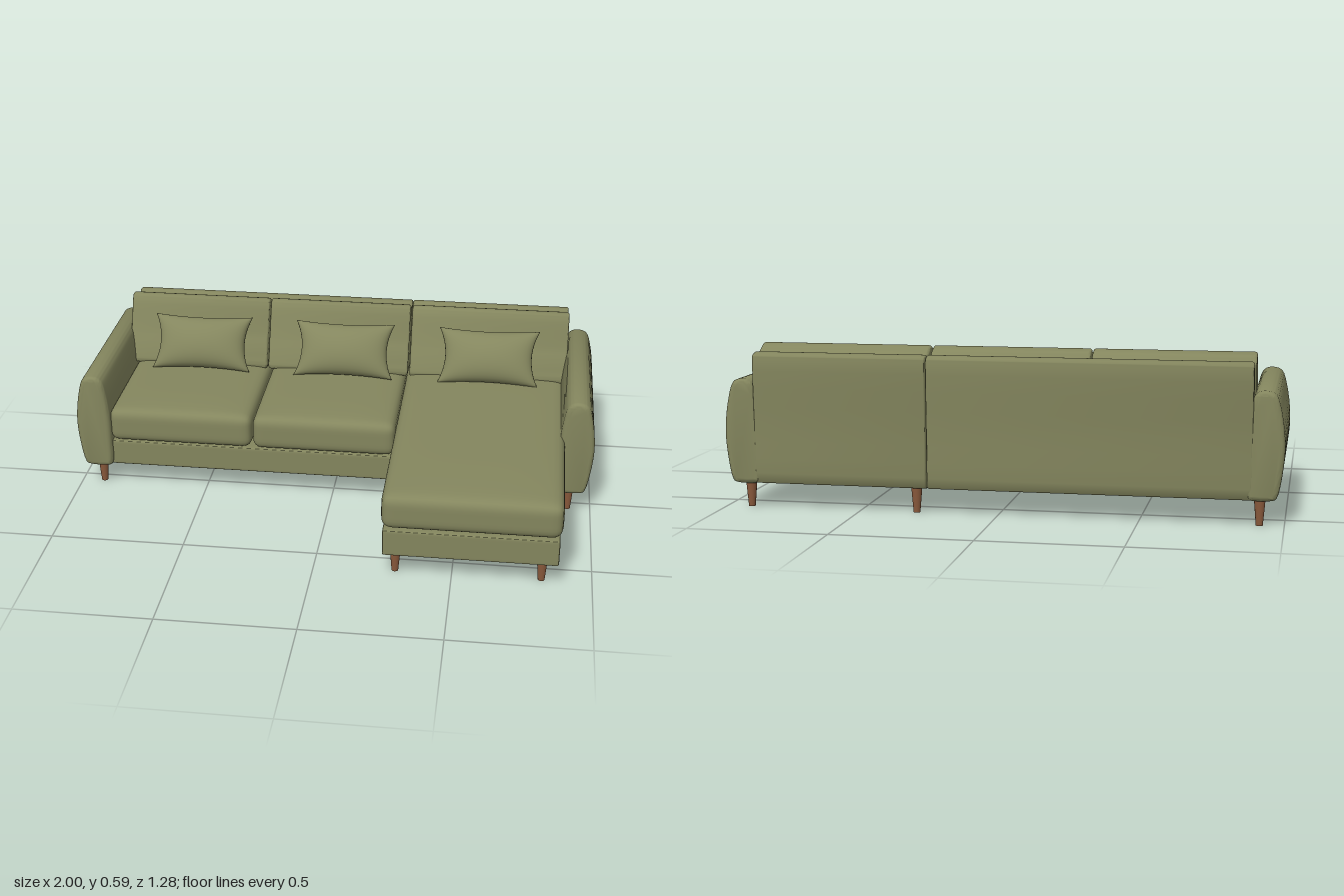
import * as THREE from 'three';
import { mergeVertices, toCreasedNormals } from 'three/addons/utils/BufferGeometryUtils.js';

const fabric = new THREE.MeshStandardMaterial({ color: 0x84865e });
fabric.name = 'olive fabric';
const wood = new THREE.MeshStandardMaterial({ color: 0x8a5a3c });
wood.name = 'brown wood';

function add(parent, name, geometry, material = fabric) {
  const mesh = new THREE.Mesh(geometry, material);
  mesh.name = name;
  parent.add(mesh);
  return mesh;
}

// Share vertices so the whole surface shades smoothly.
function smooth(geometry) {
  geometry.deleteAttribute('uv');
  geometry.deleteAttribute('normal');
  const merged = mergeVertices(geometry, 1e-5);
  merged.computeVertexNormals();
  return merged;
}

// Rounded box between two corners, with a gently crowned top.
function softBox(min, max, radius, crown = 0) {
  const half = min.map((m, i) => (max[i] - m) / 2);
  const geometry = new THREE.BoxGeometry(2, 2, 2, 24, 14, 24);
  const pos = geometry.attributes.position;
  for (let i = 0; i < pos.count; i++) {
    // Rows crowd towards the edges, where the rounding is.
    const p = [pos.getX(i), pos.getY(i), pos.getZ(i)].map((v, k) => Math.sin(v * Math.PI / 2) * half[k]);
    const inner = p.map((v, k) => THREE.MathUtils.clamp(v, radius - half[k], half[k] - radius));
    const off = new THREE.Vector3(...p.map((v, k) => v - inner[k])).setLength(radius);
    const q = inner.map((v, k) => v + off.getComponent(k));
    if (q[1] > 0) {
      q[1] += crown * (1 - (q[0] / half[0]) ** 4) * (1 - (q[2] / half[2]) ** 4) * q[1] / half[1];
    }
    pos.setXYZ(i, ...q.map((v, k) => v + (min[k] + max[k]) / 2));
  }
  return smooth(geometry);
}

// Closed soft outline pulled along its depth, with rounded ends.
function softExtrude(points, depth, bevel) {
  const curve = new THREE.CatmullRomCurve3(points.map(([x, y]) => new THREE.Vector3(x, y, 0)), true);
  const outline = curve.getPoints(points.length * 4).slice(0, -1).map((p) => new THREE.Vector2(p.x, p.y));
  const geometry = new THREE.ExtrudeGeometry(new THREE.Shape(outline), {
    depth: depth - 2 * bevel, bevelEnabled: true, bevelThickness: bevel,
    bevelSize: bevel, bevelOffset: -bevel, bevelSegments: 4,
  });
  geometry.translate(0, 0, bevel);
  return toCreasedNormals(geometry, 0.7);
}

// Outline given as (z, y), running from x0 to x1.
function acrossX(points, x0, x1, bevel) {
  return softExtrude(points, x1 - x0, bevel).rotateY(-Math.PI / 2).translate(x1, 0, 0);
}

// Throw pillow: pinched edges, pointed corners and a full middle.
function pillowGeometry(hw, hh, thick) {
  const geometry = new THREE.BoxGeometry(2, 2, 2, 24, 18, 1);
  const pos = geometry.attributes.position;
  for (let i = 0; i < pos.count; i++) {
    const u = Math.sin(pos.getX(i) * Math.PI / 2);
    const v = Math.sin(pos.getY(i) * Math.PI / 2);
    const fill = Math.sqrt(Math.max(0, (1 - u * u) * (1 - v * v)));
    pos.setXYZ(i,
      u * hw * (1 - 0.14 * (1 - v * v)),
      v * hh * (1 - 0.1 * (1 - u * u)),
      Math.sign(pos.getZ(i)) * thick * fill ** 0.85);
  }
  return smooth(geometry);
}

export function createModel() {
  const sofa = new THREE.Group();
  sofa.name = 'sectionalSofa';

  // Bases
  add(sofa, 'seatBase', softBox([-0.88, 0.09, -0.62], [0.249, 0.192, 0.07], 0.007));
  add(sofa, 'chaiseBase', softBox([0.251, 0.09, -0.62], [0.878, 0.192, 0.63], 0.007));

  // Seat cushions
  add(sofa, 'seatCushionRight', softBox([-0.872, 0.194, -0.54], [-0.313, 0.328, 0.083], 0.035, 0.012));
  add(sofa, 'seatCushionMiddle', softBox([-0.309, 0.194, -0.54], [0.243, 0.328, 0.083], 0.035, 0.012));
  add(sofa, 'chaiseCushion', softBox([0.244, 0.196, -0.54], [0.886, 0.332, 0.638], 0.038, 0.014));

  // Leaning back panels
  const backOutline = [
    [-0.622, 0.091], [-0.627, 0.098], [-0.632, 0.3], [-0.638, 0.54], [-0.634, 0.556], [-0.612, 0.564],
    [-0.594, 0.564], [-0.584, 0.553], [-0.553, 0.46], [-0.51, 0.3], [-0.5, 0.1], [-0.505, 0.091],
  ];
  add(sofa, 'backPanelRight', acrossX(backOutline, -0.89, 0.251, 0.008));
  add(sofa, 'backPanelLeft', acrossX(backOutline, 0.253, 0.886, 0.008));

  // Back cushions
  const cushionOutline = [
    [-0.38, 0.335], [-0.385, 0.36], [-0.432, 0.47], [-0.474, 0.572], [-0.484, 0.584], [-0.503, 0.588],
    [-0.555, 0.562], [-0.566, 0.55], [-0.563, 0.536], [-0.545, 0.47], [-0.5, 0.33], [-0.49, 0.325], [-0.39, 0.325],
  ];
  [[-0.895, -0.324], [-0.319, 0.252], [0.259, 0.888]].forEach(([x0, x1], i) => {
    add(sofa, 'backCushion' + (i + 1), acrossX(cushionOutline, x0, x1, 0.01));
  });

  // Arms, bulging outwards at mid height
  const armOutline = [
    [0.875, 0.091], [0.867, 0.1], [0.865, 0.2], [0.867, 0.3], [0.878, 0.4], [0.892, 0.452], [0.912, 0.467],
    [0.945, 0.467], [0.966, 0.455], [0.984, 0.4], [0.998, 0.29], [0.993, 0.2], [0.973, 0.1], [0.962, 0.091],
  ];
  for (const side of [1, -1]) {
    const outline = armOutline.map(([x, y]) => [x * side, y]);
    add(sofa, side > 0 ? 'leftArm' : 'rightArm', softExtrude(outline, 0.725, 0.018).translate(0, 0, -0.63));
  }

  // Throw pillows
  const pillow = pillowGeometry(0.2, 0.112, 0.07);
  [-0.585, -0.005, 0.575].forEach((x, i) => {
    const mesh = add(sofa, 'throwPillow' + (i + 1), pillow);
    mesh.position.set(x, 0.435, -0.367);
    mesh.rotation.x = -0.54;
  });

  // Tapered legs
  const leg = new THREE.CylinderGeometry(0.02, 0.012, 0.094, 20);
  const legSpots = [
    [-0.915, 0.04], [-0.915, -0.595], [0.912, 0.04], [0.912, -0.595],
    [0.295, -0.595], [0.295, 0.575], [0.82, 0.575],
  ];
  legSpots.forEach(([x, z], i) => {
    add(sofa, 'leg' + (i + 1), leg, wood).position.set(x, 0.047, z);
  });

  return sofa;
}
